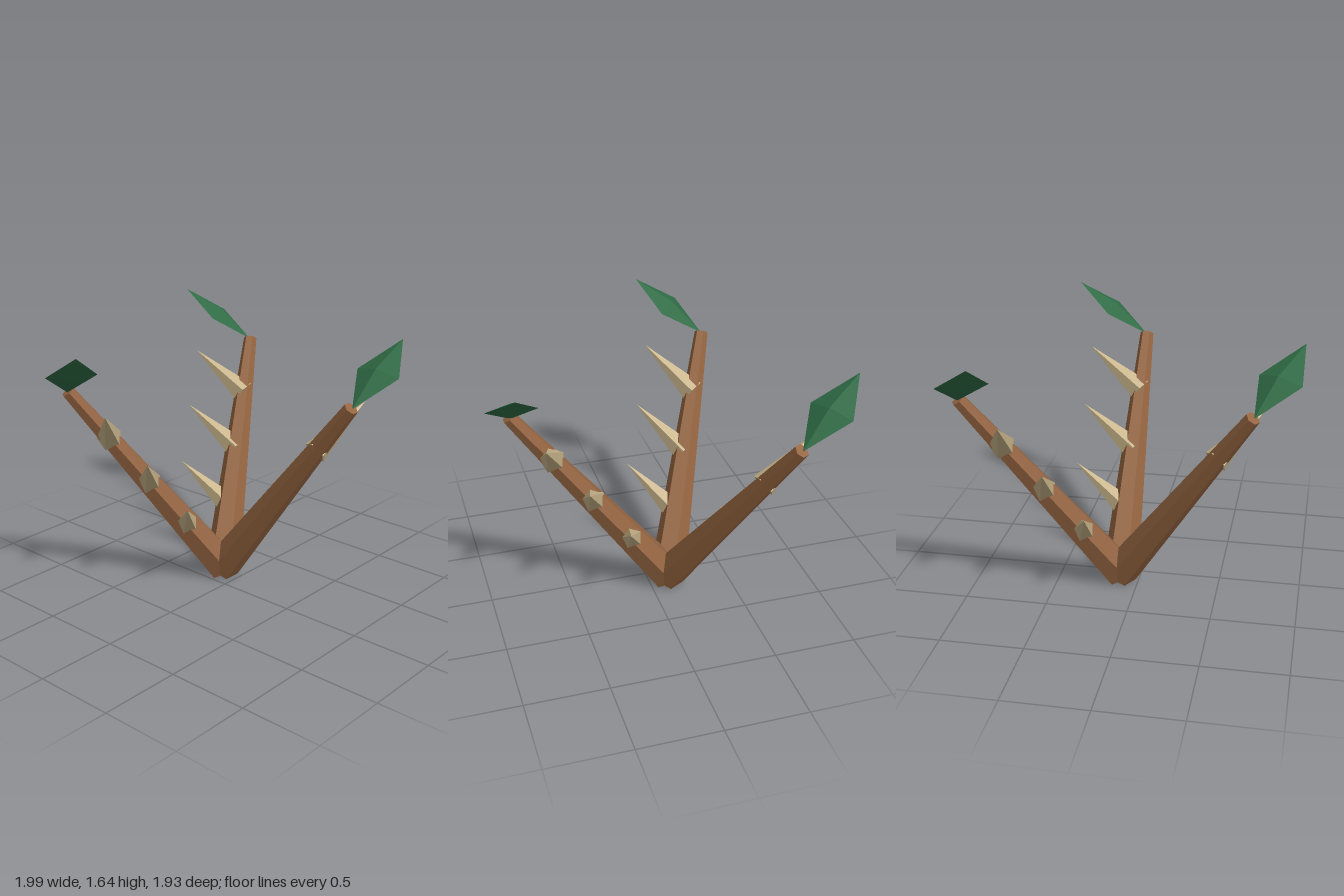
import * as THREE from 'three';

const CENTER = new THREE.Vector3(-0.117, 0, -0.113);
const UP = new THREE.Vector3(0, 1, 0);

const makeMaterial = (name, color) => {
  const m = new THREE.MeshStandardMaterial({ color, flatShading: true });
  m.name = name;
  return m;
};

export function createModel() {
  const bark = makeMaterial('bark brown', 0x946440);
  const thornTan = makeMaterial('thorn tan', 0xc8b48a);
  const leafGreen = makeMaterial('leaf green', 0x2f6b45);

  const add = (parent, name, geometry, material) => {
    const mesh = new THREE.Mesh(geometry, material);
    mesh.name = name;
    parent.add(mesh);
    return mesh;
  };

  // Tapered six-sided cylinder or cone running between two points
  const strut = (a, b, r0, r1, sides) => {
    const dir = b.clone().sub(a);
    const g = new THREE.CylinderGeometry(r1, r0, dir.length(), sides);
    g.applyQuaternion(new THREE.Quaternion().setFromUnitVectors(UP, dir.normalize()));
    const mid = a.clone().add(b).multiplyScalar(0.5);
    return g.translate(mid.x, mid.y, mid.z);
  };

  // Flattened diamond leaf: its axes are width, thickness and length
  const leafGeometry = () => {
    const width = new THREE.Vector3(0.147, 0, 0.01);
    const length = new THREE.Vector3(0.013, 0.16, -0.222);
    const thick = length.clone().cross(width).normalize().multiplyScalar(0.04);
    if (thick.y < 0) thick.negate();
    // right-handed basis: width x thickness = -length
    const basis = new THREE.Matrix4().makeBasis(width, thick, length.clone().negate());
    const g = new THREE.OctahedronGeometry(1, 0).applyMatrix4(basis);
    return g.translate(0.969, 1.48, -0.225);
  };

  const root = new THREE.Vector3(0, 0.058, 0);
  const tip = new THREE.Vector3(0.952, 1.325, 0);
  const thornReach = new THREE.Vector3(0.1, 0.25, -0.347);

  const model = new THREE.Group();
  model.name = 'thornyPlant';

  // Three identical stems spread evenly around the root
  for (let i = 0; i < 3; i++) {
    const stem = new THREE.Group();
    stem.name = 'stem' + (i + 1);
    stem.position.copy(CENTER);
    stem.rotation.y = (-i * Math.PI * 2) / 3;
    add(stem, 'branch', strut(root, tip, 0.113, 0.043, 6), bark);
    // Thorns along one side of the branch
    for (const t of [0.25, 0.5, 0.75]) {
      const base = root.clone().lerp(tip, t);
      add(stem, 'thorn', strut(base, base.clone().add(thornReach), 0.078, 0, 5), thornTan);
    }
    add(stem, 'leaf', leafGeometry(), leafGreen);
    model.add(stem);
  }

  // Small bud in the hollow under the joint
  const bud = add(model, 'rootBud', new THREE.OctahedronGeometry(0.045, 0), leafGreen);
  bud.position.set(CENTER.x, 0.07, CENTER.z);
  return model;
}
